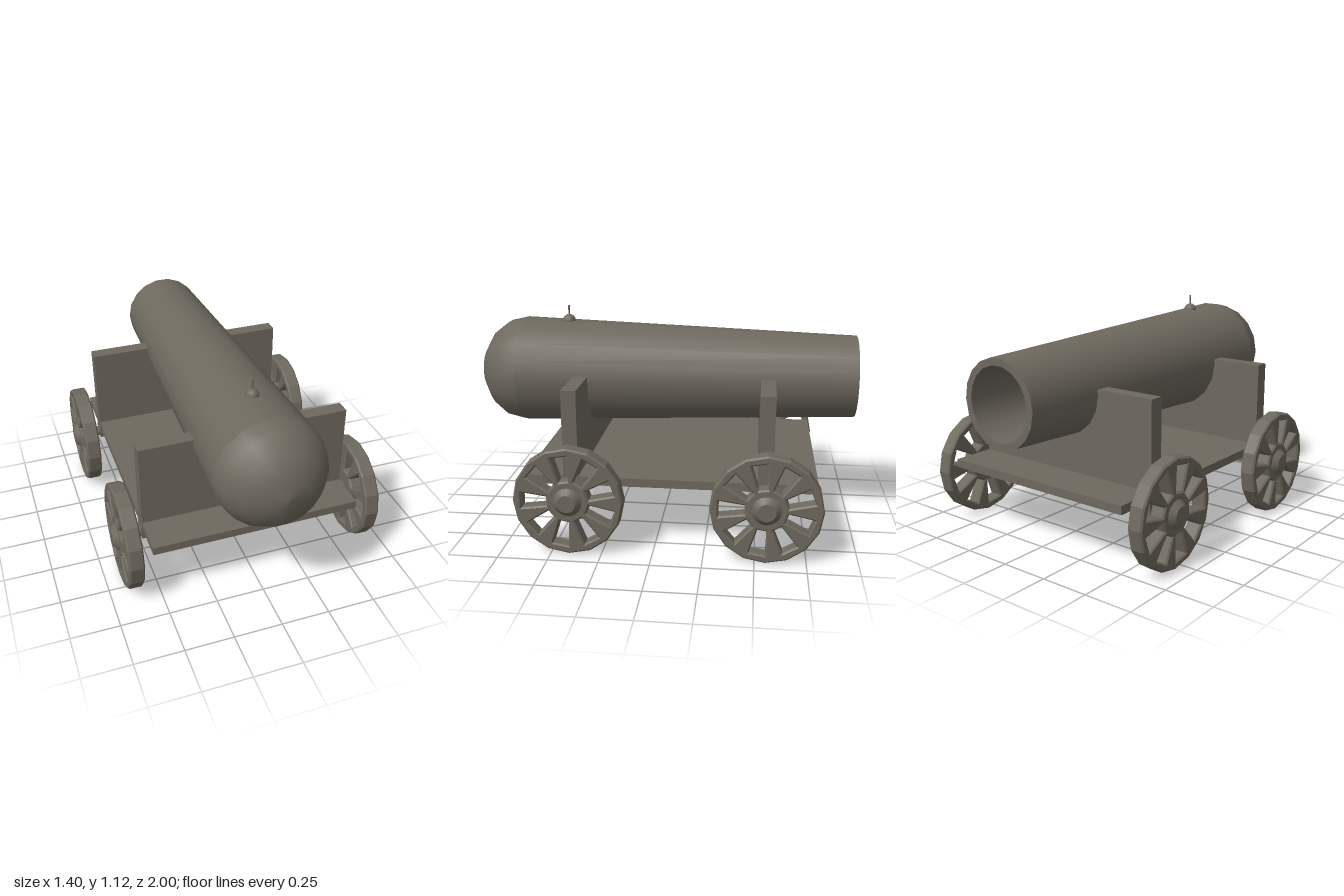
import * as THREE from 'three';

const iron = new THREE.MeshStandardMaterial({ color: 0x6e695e });
iron.name = 'weathered grey';

function add(parent, name, geometry, x = 0, y = 0, z = 0) {
  const mesh = new THREE.Mesh(geometry, iron);
  mesh.name = name;
  mesh.position.set(x, y, z);
  parent.add(mesh);
  return mesh;
}

// Lathe around the z axis; each point is [radius, z]
function latheZ(points, sides) {
  const profile = points.map(([r, z]) => new THREE.Vector2(r, z));
  return new THREE.LatheGeometry(profile, sides, Math.PI / 2).rotateX(Math.PI / 2);
}

const BARREL_Y = 0.775, BREECH_Z = 0.76, BREECH_R = 0.282, MUZZLE_R = 0.215, BORE_R = 0.18;
const AXLE_Y = 0.274, AXLES = [0.41, -0.552];

function makeBarrel() {
  const barrel = new THREE.Group();
  barrel.name = 'barrel';
  barrel.position.y = BARREL_Y;
  const dome = [];
  for (let i = 0; i <= 4; i++) {
    const a = (i / 4) * Math.PI / 2;
    dome.push([i === 4 ? 0 : BREECH_R * Math.cos(a), BREECH_Z + 0.24 * Math.sin(a)]);
  }
  add(barrel, 'barrelTube', latheZ([[MUZZLE_R, -1], [BREECH_R, BREECH_Z]], 18));
  add(barrel, 'breechDome', latheZ(dome, 18));
  add(barrel, 'muzzleRim', latheZ([[BORE_R, -1], [MUZZLE_R, -1]], 18));
  add(barrel, 'bore', latheZ([[BORE_R, 0.6], [BORE_R, -1]], 18));
  add(barrel, 'boreEnd', latheZ([[0, 0.6], [BORE_R, 0.6]], 18));
  // Touch hole cap and fuse
  add(barrel, 'fuseCap', new THREE.SphereGeometry(0.035, 12, 8), 0, 0.268, 0.525);
  add(barrel, 'fuse', new THREE.CylinderGeometry(0.005, 0.005, 0.07, 6), 0, 0.315, 0.525);
  return barrel;
}

// Upright plate with a round notch that cradles the barrel
function cradleGeometry(notch) {
  const w = 0.545, top = 0.8, bottom = 0.36;
  const rise = Math.asin((top - BARREL_Y) / notch);
  const shape = new THREE.Shape();
  shape.moveTo(-w, bottom);
  shape.lineTo(w, bottom);
  shape.lineTo(w, top);
  shape.lineTo(notch * Math.cos(rise), top);
  shape.absarc(0, BARREL_Y, notch, rise, -Math.PI - rise, true);
  shape.lineTo(-w, top);
  return new THREE.ExtrudeGeometry(shape, { depth: 0.075, bevelEnabled: false, curveSegments: 18 })
    .translate(0, 0, -0.0375);
}

// Spoked disc with nine tapered openings, axis along x
function wheelGeometry() {
  const polar = (r, a) => new THREE.Vector2(r * Math.cos(a), r * Math.sin(a));
  const rim = [];
  for (let i = 0; i < 16; i++) rim.push(polar(0.273, (i / 16) * Math.PI * 2));
  const shape = new THREE.Shape(rim);
  for (let i = 0; i < 9; i++) {
    const a = Math.PI + (i / 9) * Math.PI * 2;
    const corners = [[0.105, -0.023], [0.105, 0.023], [0.23, 0.04], [0.23, -0.04]]
      .map(([x, y]) => new THREE.Vector2(x, y).rotateAround(new THREE.Vector2(), a));
    shape.holes.push(new THREE.Path(corners));
  }
  return new THREE.ExtrudeGeometry(shape, {
    depth: 0.062, bevelThickness: 0.008, bevelSize: 0.008, bevelOffset: -0.008, bevelSegments: 1,
  }).translate(0, 0, -0.031).rotateY(Math.PI / 2);
}

export function createModel() {
  const model = new THREE.Group();
  model.name = 'cannon';
  model.add(makeBarrel());

  // Carriage bed
  add(model, 'bed', new THREE.BoxGeometry(1.088, 0.043, 1.455), 0, 0.339, -0.073);

  const wheel = wheelGeometry();
  const hub = new THREE.CylinderGeometry(0.045, 0.073, 0.028, 16);
  const axle = new THREE.CylinderGeometry(0.028, 0.028, 1.24, 12).rotateZ(Math.PI / 2);
  AXLES.forEach((z, i) => {
    const end = i === 0 ? 'front' : 'rear';
    const barrelR = THREE.MathUtils.mapLinear(z, -1, BREECH_Z, MUZZLE_R, BREECH_R);
    add(model, end + 'Cradle', cradleGeometry(barrelR - 0.012), 0, 0, z + 0.008);
    add(model, end + 'AxleBeam', new THREE.BoxGeometry(1.094, 0.071, 0.072), 0, 0.281, z - 0.004);
    add(model, end + 'Axle', axle, 0, AXLE_Y, z);
    for (const side of [1, -1]) {
      const name = end + (side > 0 ? 'Left' : 'Right');
      add(model, name + 'Wheel', wheel, side * 0.632, AXLE_Y, z);
      add(model, name + 'Hub', hub, side * 0.684, AXLE_Y, z).rotation.z = -side * Math.PI / 2;
    }
  });
  return model;
}
